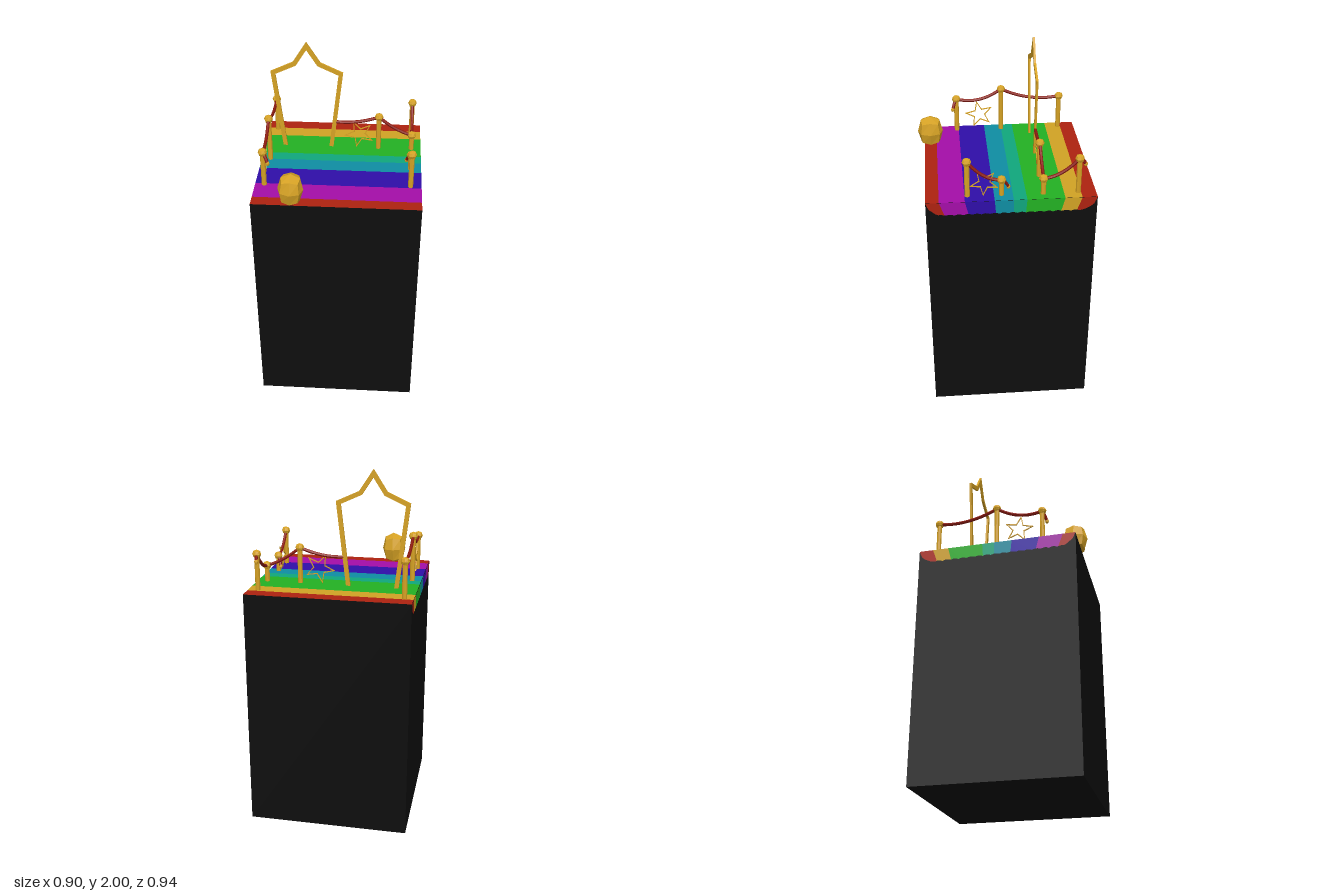
import * as THREE from 'three';

const mat = (name, color, side = THREE.FrontSide) => {
  const m = new THREE.MeshStandardMaterial({ color, side, flatShading: true });
  m.name = name;
  return m;
};

export function createModel() {
  const group = new THREE.Group();
  const M = {
    black: mat('black', 0x0e0e0e),
    gold: mat('gold', 0xd6a224),
    rope: mat('rope red', 0x8c1a10),
    red: mat('stripe red', 0xad2210),
    amber: mat('stripe amber', 0xd0a224),
    green: mat('stripe green', 0x23b023),
    jade: mat('stripe jade', 0x10a67c),
    teal: mat('stripe teal', 0x0f8da2),
    blue: mat('stripe blue', 0x2f0ea8),
    purple: mat('stripe purple', 0xa30ea8),
  };
  const TOP = 1.36, HALF = 0.45, ZC = -0.02;
  const V = (x, y, z) => new THREE.Vector3(x, y, z);
  const add = (name, geometry, material, x = 0, y = 0, z = 0) => {
    const mesh = new THREE.Mesh(geometry, material);
    mesh.name = name;
    mesh.position.set(x, y, z);
    group.add(mesh);
    return mesh;
  };

  // Pedestal
  add('pedestal', new THREE.BoxGeometry(0.9, TOP - 0.002, 0.9), M.black, 0, TOP / 2 - 0.001, ZC);

  // Rainbow cover: flat stripes on top, scalloped drape down both sides
  const edges = [-0.47, -0.39, -0.3, -0.1, -0.03, 0.07, 0.225, 0.36, 0.43];
  const colours = ['red', 'amber', 'green', 'jade', 'teal', 'blue', 'purple', 'red'];
  const drop = (z) => {
    const inset = HALF - Math.abs(z - ZC);
    return Math.min(0.079, 0.045 + inset * 0.9) - 0.007 * Math.abs(Math.sin(z * 62));
  };
  colours.forEach((key, i) => {
    const a = edges[i], b = edges[i + 1];
    const top = new THREE.PlaneGeometry(0.9, b - a).rotateX(-Math.PI / 2);
    add('topStripe', top, M[key], 0, TOP, (a + b) / 2);
    for (const s of [1, -1]) {
      const pts = [new THREE.Vector2(-s * a, TOP)];
      const n = Math.ceil((b - a) / 0.012);
      for (let k = 0; k <= n; k++) {
        const z = a + ((b - a) * k) / n, d = drop(z);
        const pulled = ZC + (z - ZC) * (1 - d * 0.95);
        pts.push(new THREE.Vector2(-s * pulled, TOP - d));
      }
      pts.push(new THREE.Vector2(-s * b, TOP));
      const side = new THREE.ShapeGeometry(new THREE.Shape(pts)).rotateY((s * Math.PI) / 2);
      add('sideDrape', side, M[key], s * (HALF + 0.002), 0, 0);
    }
  });

  // Faceted ball made from a subdivided cube; round = 1 gives a sphere
  const facetedBall = (rx, ry, rz, round = 1) => {
    const g = new THREE.BoxGeometry(2, 2, 2, 2, 2, 2);
    const p = g.attributes.position, v = new THREE.Vector3();
    for (let i = 0; i < p.count; i++) {
      v.fromBufferAttribute(p, i);
      v.multiplyScalar(Math.pow(v.length(), -round));
      p.setXYZ(i, v.x * rx, v.y * ry, v.z * rz);
    }
    g.computeVertexNormals();
    return g;
  };

  // Golden boulder on the front edge
  const boulder = add('boulder', facetedBall(0.068, 0.092, 0.072, 0.86), M.gold, -0.238, 1.44, 0.393);
  boulder.rotation.z = -0.04;

  // Posts with knobs: x, z, knob height
  const posts = [
    [-0.4, -0.375, 1.56], [-0.4, -0.03, 1.615], [-0.4, 0.235, 1.56],
    [0.395, -0.375, 1.56], [0.395, -0.19, 1.45], [0.205, -0.19, 1.56],
    [0.39, 0.03, 1.45], [0.39, 0.21, 1.56],
  ];
  for (const [x, z, y] of posts) {
    const h = y - TOP + 0.005;
    add('post', new THREE.CylinderGeometry(0.014, 0.014, h, 8), M.gold, x, y - h / 2, z);
    add('postKnob', facetedBall(0.025, 0.024, 0.025), M.gold, x, y, z);
  }
  const knob = (i) => V(posts[i][0], posts[i][2], posts[i][1]);

  // Sagging ropes
  const rope = (a, b, sag) => {
    const mid = a.clone().lerp(b, 0.5);
    mid.y -= sag * 2;
    const curve = new THREE.QuadraticBezierCurve3(a, mid, b);
    add('rope', new THREE.TubeGeometry(curve, 10, 0.009, 6), M.rope);
  };
  rope(knob(0), knob(1), 0.03);
  rope(knob(1), knob(2), 0.035);
  rope(knob(3), knob(4), 0.025);
  rope(knob(4), knob(5), 0.015);
  rope(knob(5), V(-0.04, 1.52, -0.195), 0.015);
  rope(knob(6), knob(7), 0.03);

  // Loose rope ends with gold tips
  const tails = [
    [knob(2), V(-0.372, 1.505, 0.257)],
    [knob(3), V(0.39, 1.525, -0.408)],
    [knob(6), V(0.367, 1.395, -0.008)],
  ];
  for (const [a, b] of tails) {
    rope(a, b, -0.008);
    add('ropeTip', facetedBall(0.011, 0.014, 0.011), M.gold, b.x, b.y, b.z);
  }

  // Flat bar following an open path, with mitred corners
  const barShape = (path, w) => {
    const P = path.map(([x, y]) => new THREE.Vector2(x, y));
    const left = [], right = [];
    P.forEach((p, i) => {
      const d0 = P[i].clone().sub(P[Math.max(i - 1, 0)]).normalize();
      const d1 = P[Math.min(i + 1, P.length - 1)].clone().sub(P[i]).normalize();
      const t = d0.clone().add(d1).normalize();
      const n = new THREE.Vector2(-t.y, t.x);
      const ref = i ? d0 : d1;
      const m = w / 2 / (n.x * -ref.y + n.y * ref.x);
      left.push(p.clone().addScaledVector(n, m));
      right.unshift(p.clone().addScaledVector(n, -m));
    });
    return new THREE.Shape([...left, ...right]);
  };

  // Star-topped arch
  const archPath = [
    [-0.333, 1.356], [-0.388, 1.817], [-0.268, 1.872], [-0.2, 1.977],
    [-0.132, 1.872], [-0.012, 1.817], [-0.067, 1.356],
  ];
  const arch = new THREE.ExtrudeGeometry(barShape(archPath, 0.024), { depth: 0.012, bevelEnabled: false });
  add('starArch', arch, M.gold, 0, 0, -0.201);

  // Thin open stars hanging between the posts
  const starPoints = (outer, inner, turn) =>
    Array.from({ length: 10 }, (_, i) => {
      const r = i % 2 ? inner : outer, a = turn + (i * Math.PI) / 5;
      return new THREE.Vector2(Math.cos(a) * r, Math.sin(a) * r);
    });
  const star = (r, turn, x, y, z, yaw) => {
    const shape = new THREE.Shape(starPoints(r, r * 0.42, turn));
    shape.holes.push(new THREE.Path(starPoints(r * 0.86, r * 0.35, turn)));
    const g = new THREE.ExtrudeGeometry(shape, { depth: 0.006, bevelEnabled: false });
    g.translate(0, 0, -0.003);
    add('hangingStar', g, M.gold, x, y, z).rotation.y = yaw;
  };
  star(0.087, 0.75, 0.095, 1.448, -0.19, 0);
  star(0.085, 0.5, -0.407, 1.455, 0.1, Math.PI / 2 + 0.06);
  star(0.078, 0.85, 0.391, 1.435, 0.12, Math.PI / 2);

  return group;
}
